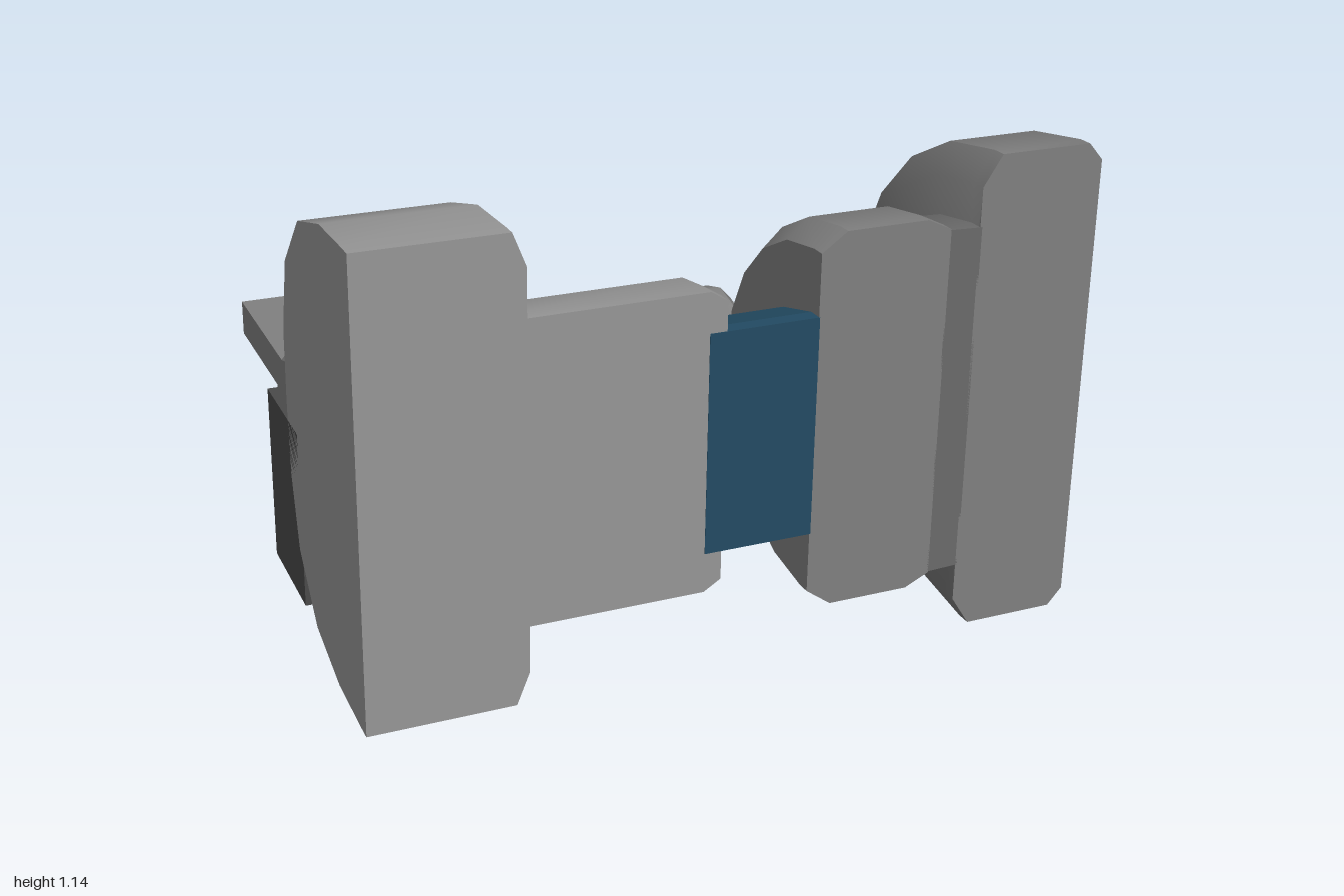
import * as THREE from 'three';
import { toCreasedNormals } from 'three/addons/utils/BufferGeometryUtils.js';

const AXIS_Y = 0.57, AXIS_Z = 0.965;
const mat = (color, flatShading = false) => new THREE.MeshStandardMaterial({ color, flatShading });

export function createModel() {
  const root = new THREE.Group();
  const grey = mat(0x808080), lightGrey = mat(0x969696), neckGrey = mat(0x6a6a6a);
  const dark = mat(0x4a4a4a), black = mat(0x202020), pane = mat(0x6c736b);
  const blue = mat(0x234b63, true), strutGrey = mat(0x565656, true);

  const add = (name, geometry, material, parent = root) => {
    const mesh = new THREE.Mesh(geometry, material);
    mesh.name = name;
    parent.add(mesh);
    return mesh;
  };

  // Box given by its limits on each axis
  const box = (name, [x0, x1], [y0, y1], [z0, z1], material, parent) => {
    const g = new THREE.BoxGeometry(x1 - x0, y1 - y0, z1 - z0);
    g.translate((x0 + x1) / 2, (y0 + y1) / 2, (z0 + z1) / 2);
    return add(name, g, material, parent);
  };

  // Closed round body along x; profile is [x, radius] pairs
  const turned = (profile, sides) => {
    const pts = profile.map(([x, r]) => new THREE.Vector2(r, x));
    pts.unshift(new THREE.Vector2(0, profile[0][0]));
    pts.push(new THREE.Vector2(0, profile[profile.length - 1][0]));
    return new THREE.LatheGeometry(pts, sides).rotateZ(-Math.PI / 2);
  };

  // Round body with its front half pressed flat; a power above 2 squares off the back
  const halfBody = (name, profile, material, { sides = 20, front = 0.035, power = 2, crease = 0.6 } = {}) => {
    const g = turned(profile, sides);
    const p = g.attributes.position;
    for (let i = 0; i < p.count; i++) {
      const y = p.getY(i), z = p.getZ(i), r = Math.hypot(y, z);
      if (z > front) {
        p.setY(i, y / Math.cos(2 * Math.PI / sides));
        p.setZ(i, front);
      } else if (r > 0) {
        const s = r / (Math.abs(y) ** power + Math.abs(z) ** power) ** (1 / power);
        p.setY(i, y * s);
        p.setZ(i, z * s);
      }
    }
    g.translate(0, AXIS_Y, AXIS_Z);
    return add(name, toCreasedNormals(g, crease), material);
  };

  // Main hull sections
  halfBody('endModule', [[-0.855, 0.535], [-0.52, 0.535], [-0.49, 0.46]], lightGrey, { power: 3 });
  halfBody('middleModule', [[-0.5, 0.35], [-0.085, 0.35], [-0.045, 0.325]], lightGrey);
  halfBody('blueConnector', [[-0.085, 0.257], [0.172, 0.257]], blue, { sides: 12, front: 0.036 });
  halfBody('bulgedModule', [[0.17, 0.4], [0.23, 0.443], [0.425, 0.443], [0.483, 0.415]], grey);
  halfBody('neckRing', [[0.48, 0.413], [0.56, 0.41]], neckGrey);
  halfBody('largeEndDisc',
    [[0.555, 0.5], [0.6, 0.57], [0.82, 0.57], [0.855, 0.53]], grey, { crease: 0.95 });

  // Equipment boxes beneath the hull
  box('equipmentBox', [-0.855, -0.32], [0.09, 0.52], [0.24, 0.513], dark);
  box('undersideBlock', [-0.49, -0.042], [0.17, 0.45], [0.55, 0.63], black);

  // Long cylinder behind the hull
  const tank = turned([[-0.79, 0.12], [-0.755, 0.153], [0.34, 0.153], [0.37, 0.12]], 12);
  tank.translate(0, 0.43, 0.175);
  add('rearCylinder', toCreasedNormals(tank, 0.6), grey);

  // Curved pipe joining the cylinder to the large disc
  const pipe = new THREE.CatmullRomCurve3([
    [0.33, 0.43, 0.17], [0.47, 0.43, 0.18], [0.56, 0.425, 0.26],
    [0.605, 0.415, 0.39], [0.605, 0.41, 0.54],
  ].map(a => new THREE.Vector3(...a)));
  add('elbowPipe', new THREE.TubeGeometry(pipe, 5, 0.088, 8, false), strutGrey);

  // Sloping strut from the cylinder to the panel
  const a = new THREE.Vector3(-0.25, 0.385, 0.11), b = new THREE.Vector3(-0.25, 0.22, -0.23);
  const strutGeo = new THREE.CylinderGeometry(0.096, 0.096, a.distanceTo(b), 8).rotateY(Math.PI / 8);
  const strut = add('panelStrut', strutGeo, strutGrey);
  strut.position.copy(a).add(b).multiplyScalar(0.5);
  strut.quaternion.setFromUnitVectors(new THREE.Vector3(0, 1, 0), b.clone().sub(a).normalize());

  // Panel: open frame, shallow pane, crossing bars and a dark underside
  const panel = new THREE.Group();
  panel.name = 'panel';
  root.add(panel);
  const rect = (Type, x0, x1, z0, z1) => new Type([
    new THREE.Vector2(x0, -z0), new THREE.Vector2(x0, -z1),
    new THREE.Vector2(x1, -z1), new THREE.Vector2(x1, -z0),
  ]);
  const frame = rect(THREE.Shape, -0.645, 0.14, -1, -0.11);
  frame.holes.push(rect(THREE.Path, -0.5, 0, -0.865, -0.25));
  const frameGeo = new THREE.ExtrudeGeometry(frame, { depth: 0.1, bevelEnabled: false });
  add('panelFrame', frameGeo.rotateX(-Math.PI / 2).translate(0, 0.165, 0), grey, panel);
  box('panelPane', [-0.5, 0], [0.2, 0.235], [-0.865, -0.25], pane, panel);
  box('panelUnderside', [-0.5, 0], [0.168, 0.2], [-0.865, -0.25], black, panel);
  box('panelLongBar', [-0.29, -0.215], [0.23, 0.258], [-0.865, -0.25], dark, panel);
  for (const z of [-0.67, -0.445]) {
    box('panelCrossBar', [-0.5, 0], [0.23, 0.257], [z - 0.036, z + 0.036], dark, panel);
  }

  return root;
}
